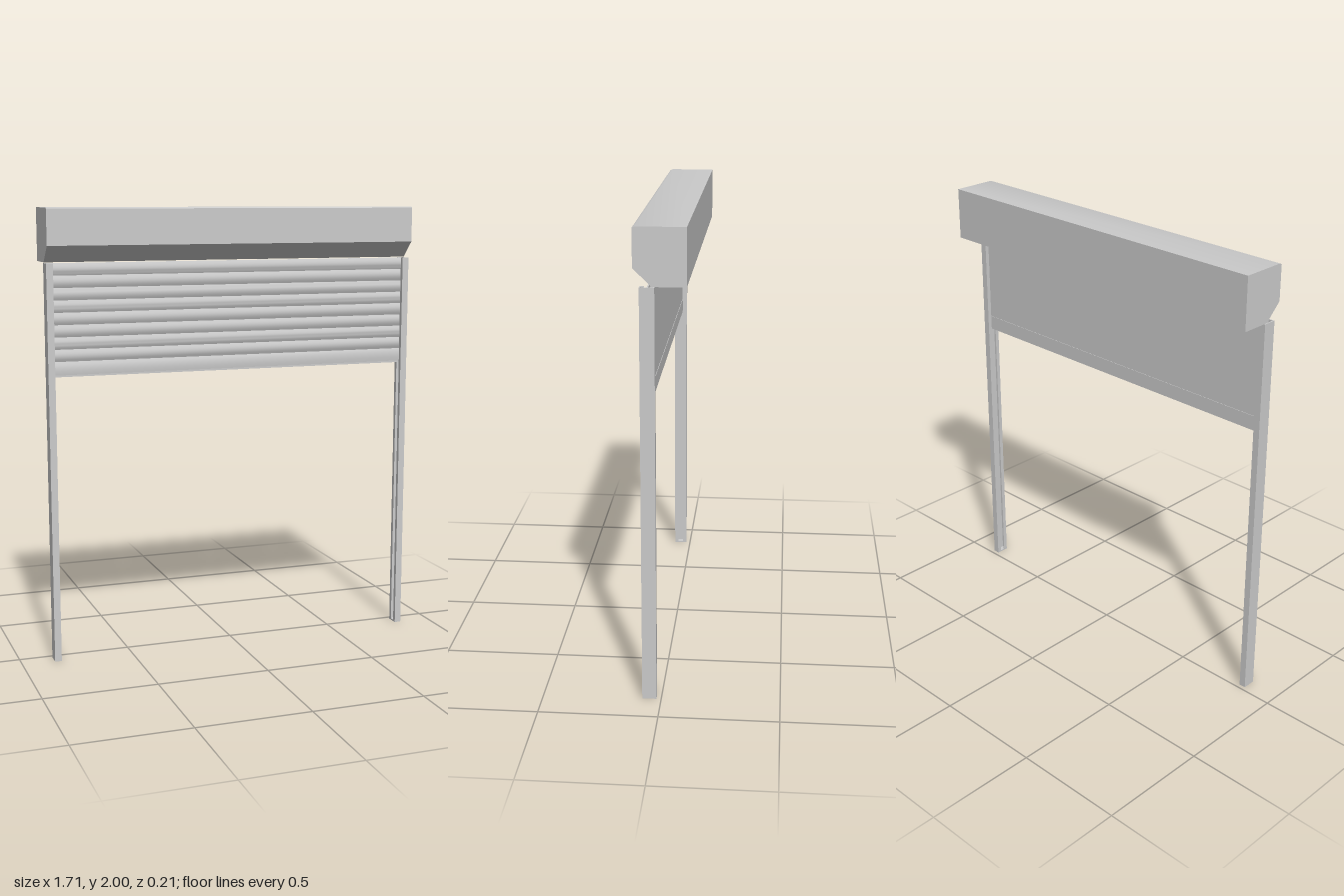
import * as THREE from 'three';
import { toCreasedNormals } from 'three/addons/utils/BufferGeometryUtils.js';

const material = new THREE.MeshStandardMaterial({ color: 0xcccccc });

function part(name, geometry) {
  const mesh = new THREE.Mesh(geometry, material);
  mesh.name = name;
  return mesh;
}

function shapeOf(points) {
  return new THREE.Shape(points.map(([a, b]) => new THREE.Vector2(a, b)));
}

// Extrudes a [z, y] side profile across the width, centred on x = 0
function acrossX(profile, width) {
  const g = new THREE.ExtrudeGeometry(shapeOf(profile), { depth: width, bevelEnabled: false });
  g.translate(0, 0, -width / 2);
  g.rotateY(-Math.PI / 2);
  return toCreasedNormals(g, 0.5);
}

// Extrudes an [x, z] plan upwards from y0 to y1
function upwards(plan, y0, y1) {
  const g = new THREE.ExtrudeGeometry(shapeOf(plan.map(([x, z]) => [x, -z])), { depth: y1 - y0, bevelEnabled: false });
  g.rotateX(-Math.PI / 2);
  g.translate(0, y0, 0);
  return g;
}

export function createModel() {
  const group = new THREE.Group();
  const railTop = 1.765;

  // Roller housing with a slanted lower front and a tiny top front bevel
  group.add(part('housing', acrossX([
    [-0.105, 1.768], [0.03, 1.768], [0.105, 1.84], [0.105, 1.995], [0.095, 2], [-0.105, 2],
  ], 1.71)));

  // Slatted curtain: slats bulge forwards, the back is flat
  const slats = 8, bottomBarTop = 1.34, pitch = (railTop - bottomBarTop) / slats, steps = 6;
  const profile = [[0.044, bottomBarTop], [0.044, railTop]];
  for (let i = 0; i < slats; i++) {
    for (let k = 0; k <= steps; k++) {
      if (i > 0 && k === 0) continue;
      const t = k / steps;
      profile.push([0.05 + 0.008 * Math.sin(Math.PI * t), railTop - (i + t) * pitch]);
    }
  }
  group.add(part('curtain', acrossX(profile, 1.69)));

  // Bottom bar and its narrow seal
  group.add(part('bottomBar', acrossX([
    [0.042, 1.282], [0.056, 1.282], [0.058, 1.3], [0.057, 1.325], [0.05, bottomBarTop], [0.042, bottomBarTop],
  ], 1.69)));
  const seal = part('bottomSeal', new THREE.BoxGeometry(1.69, 0.008, 0.012));
  seal.position.set(0, 1.278, 0.049);
  group.add(seal);

  // Guide rails: channels slotted on the inner side, with a foot cap
  for (const [side, s] of [['left', 1], ['right', -1]]) {
    const plan = [
      [0.855, 0.02], [0.855, 0.08], [0.825, 0.08], [0.825, 0.062], [0.83, 0.062], [0.83, 0.075],
      [0.85, 0.075], [0.85, 0.025], [0.83, 0.025], [0.83, 0.038], [0.825, 0.038], [0.825, 0.02],
    ].map(([x, z]) => [s * x, z]);
    group.add(part(side + 'Rail', upwards(plan, 0.006, railTop)));
    const cap = part(side + 'RailCap', new THREE.BoxGeometry(0.03, 0.006, 0.06));
    cap.position.set(s * 0.84, 0.003, 0.05);
    group.add(cap);
  }
  return group;
}
